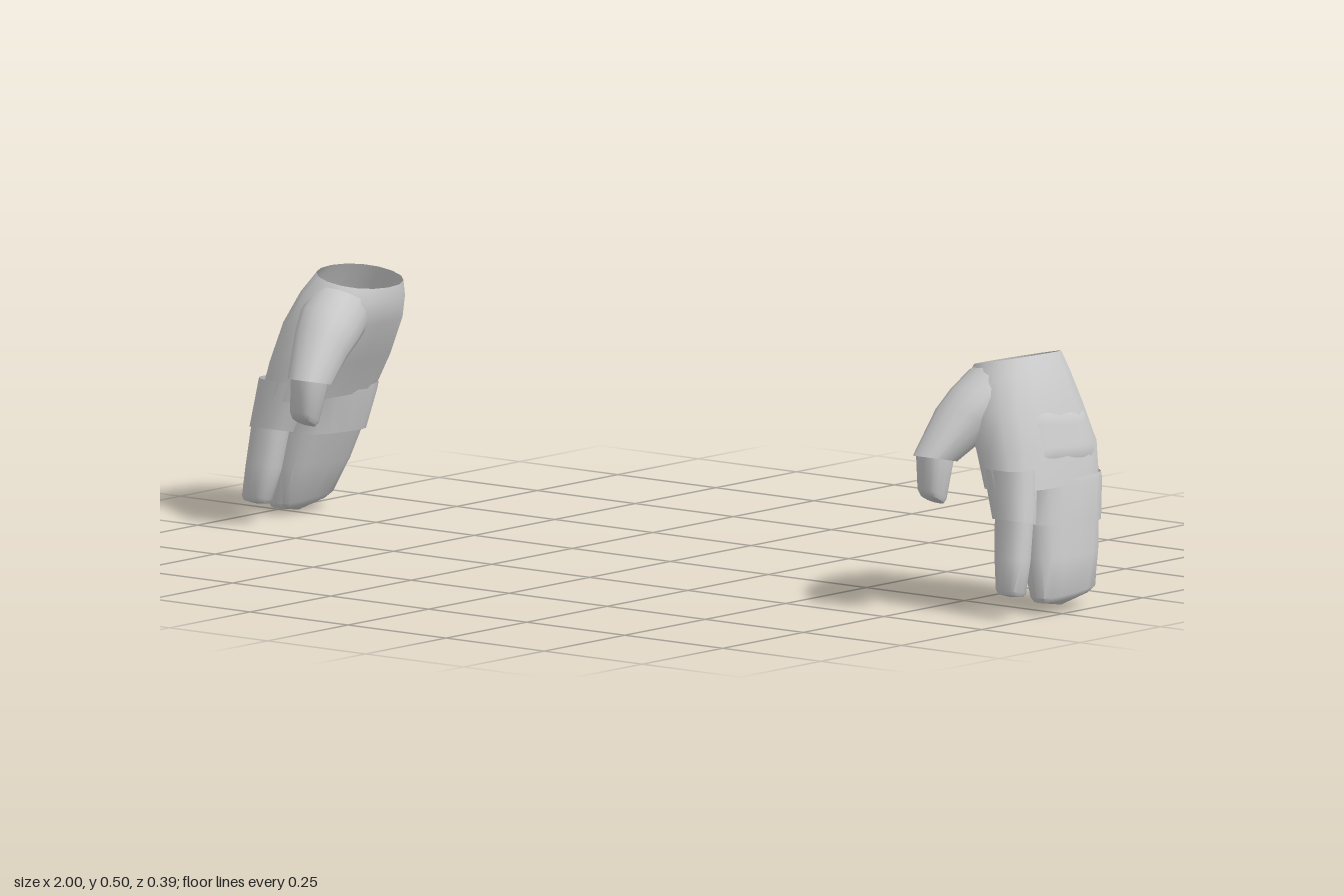
import * as THREE from 'three';
import { toCreasedNormals } from 'three/addons/utils/BufferGeometryUtils.js';

const SEG = 16;
const material = new THREE.MeshStandardMaterial({ color: 0xcccccc, side: THREE.DoubleSide });

// Rounded cross-section: [zBack, yBack, zFront, yFront, xInner, xOuter, roundness, xSlope]
function ringPoint([zb, yb, zf, yf, x0, x1, p = 2.6, slope = 0], angle) {
  const power = (v) => Math.sign(v) * Math.pow(Math.abs(v), 2 / p);
  const u = power(Math.cos(angle)), w = power(Math.sin(angle));
  return [
    (x0 + x1) / 2 + (w * (x1 - x0)) / 2,
    (yb + yf) / 2 + (u * (yf - yb)) / 2 + w * slope,
    (zb + zf) / 2 + (u * (zf - zb)) / 2,
  ];
}

function finish(name, positions, index, side, crease = 0.75) {
  const pos = positions.map((v, i) => (i % 3 === 0 ? v * side : v));
  if (side < 0) index.reverse();
  const geo = new THREE.BufferGeometry();
  geo.setAttribute('position', new THREE.Float32BufferAttribute(pos, 3));
  geo.setIndex(index);
  const mesh = new THREE.Mesh(toCreasedNormals(geo, crease), material);
  mesh.name = name;
  return mesh;
}

// Skin a stack of sections; the bottom end closes on a point dropped by capDrop
function loft(name, rings, side, capDrop = 0) {
  const pos = [], index = [];
  rings.forEach((r) => {
    for (let j = 0; j < SEG; j++) pos.push(...ringPoint(r, (j / SEG) * Math.PI * 2));
  });
  for (let i = 0; i < rings.length - 1; i++) {
    for (let j = 0; j < SEG; j++) {
      const k = (j + 1) % SEG, a = i * SEG + j, b = i * SEG + k;
      index.push(a, a + SEG, b, b, a + SEG, b + SEG);
    }
  }
  const l = rings[rings.length - 1], base = (rings.length - 1) * SEG;
  pos.push((l[4] + l[5]) / 2, (l[1] + l[3]) / 2 - capDrop, (l[0] + l[2]) / 2);
  for (let j = 0; j < SEG; j++) index.push(base + j, base + SEG, base + ((j + 1) % SEG));
  return finish(name, pos, index, side);
}

const PALM = [
  [-0.165, 0.485, 0.035, 0.488, 0.76, 0.905, 2.1, 0.015],
  [-0.17, 0.45, 0.06, 0.455, 0.757, 0.928, 2.3, 0.008],
  [-0.178, 0.40, 0.085, 0.40, 0.768, 0.953, 2.5],
  [-0.195, 0.32, 0.10, 0.32, 0.815, 0.974, 2.6],
  [-0.18, 0.25, 0.106, 0.25, 0.848, 0.986, 2.8],
];

// Outer surface of the palm at a given height and depth
function backOfHand(y, z) {
  let i = 0;
  while (i < PALM.length - 2 && PALM[i + 1][1] > y) i++;
  const t = (PALM[i][1] - y) / (PALM[i][1] - PALM[i + 1][1]);
  const [zb, , zf, , x0, x1, p] = PALM[i].map((v, k) => v + ((PALM[i + 1][k] ?? v) - v) * t);
  const u = Math.min(1, Math.abs((z - (zb + zf) / 2) / ((zf - zb) / 2)));
  return (x0 + x1) / 2 + ((x1 - x0) / 2) * Math.pow(1 - Math.pow(u, p), 1 / p);
}

// Thin panel lying on the back of the hand
function panel(side) {
  const n = 8, pos = [], index = [];
  for (let i = 0; i <= n; i++) {
    for (let j = 0; j <= n; j++) {
      const a = i / n, b = j / n;
      const z = 0.032 - 0.177 * a;
      const y = (0.4 - 0.02 * a) * (1 - b) + (0.308 - 0.016 * a) * b;
      const rim = i === 0 || j === 0 || i === n || j === n;
      pos.push(backOfHand(y, z) + (rim ? -0.002 : 0.002), y, z);
      if (i < n && j < n) {
        const k = i * (n + 1) + j;
        index.push(k, k + 1, k + n + 1, k + 1, k + n + 2, k + n + 1);
      }
    }
  }
  // corner order gives an outward +x face
  index.reverse();
  return finish('backPanel', pos, index, side, 1.2);
}

function hand(name, side) {
  const group = new THREE.Group();
  group.name = name;
  group.add(
    loft('palm', PALM, side),
    panel(side),
    // glove sleeves
    loft('mittenSleeve', [
      [-0.181, 0.262, 0.03, 0.262, 0.846, 0.984, 2.8],
      [-0.18, 0.25, 0.026, 0.25, 0.848, 0.987, 2.8],
      [-0.166, 0.168, 0.034, 0.176, 0.868, 0.994, 2.8],
    ], side),
    loft('indexSleeve', [
      [0.024, 0.29, 0.103, 0.29, 0.86, 0.972],
      [0.028, 0.25, 0.107, 0.25, 0.876, 0.978],
      [0.042, 0.18, 0.113, 0.195, 0.897, 0.985],
    ], side),
    loft('thumbSleeve', [
      [-0.07, 0.41, 0.042, 0.478, 0.768, 0.89, 2.2],
      [0.0, 0.36, 0.085, 0.445, 0.758, 0.885, 2.3],
      [0.045, 0.335, 0.122, 0.408, 0.755, 0.865, 2.4],
      [0.098, 0.297, 0.184, 0.315, 0.754, 0.828, 2.8],
    ], side),
    // bare finger ends
    loft('fingers', [
      [-0.162, 0.18, 0.03, 0.18, 0.872, 0.99, 2.8],
      [-0.148, 0.11, 0.035, 0.11, 0.898, 0.997, 2.8],
      [-0.128, 0.042, 0.04, 0.032, 0.93, 1.0, 2.8],
      [-0.108, 0.03, 0.034, 0.022, 0.938, 0.994, 2.6],
    ], side, 0.016),
    loft('indexFinger', [
      [0.046, 0.2, 0.109, 0.205, 0.902, 0.98],
      [0.063, 0.11, 0.121, 0.12, 0.912, 0.985],
      [0.08, 0.048, 0.13, 0.058, 0.925, 0.985],
      [0.088, 0.041, 0.126, 0.049, 0.931, 0.98],
    ], side, 0.003),
    loft('thumb', [
      [0.104, 0.305, 0.178, 0.32, 0.759, 0.823, 2.8],
      [0.128, 0.224, 0.18, 0.25, 0.768, 0.82, 2.8],
      [0.133, 0.216, 0.176, 0.238, 0.774, 0.816, 2.6],
    ], side, 0.002),
  );
  return group;
}

export function createModel() {
  const model = new THREE.Group();
  model.name = 'glovedHands';
  const right = hand('rightHand', -1);
  right.position.set(0, -0.01, 0.015);
  model.add(hand('leftHand', 1), right);
  return model;
}
